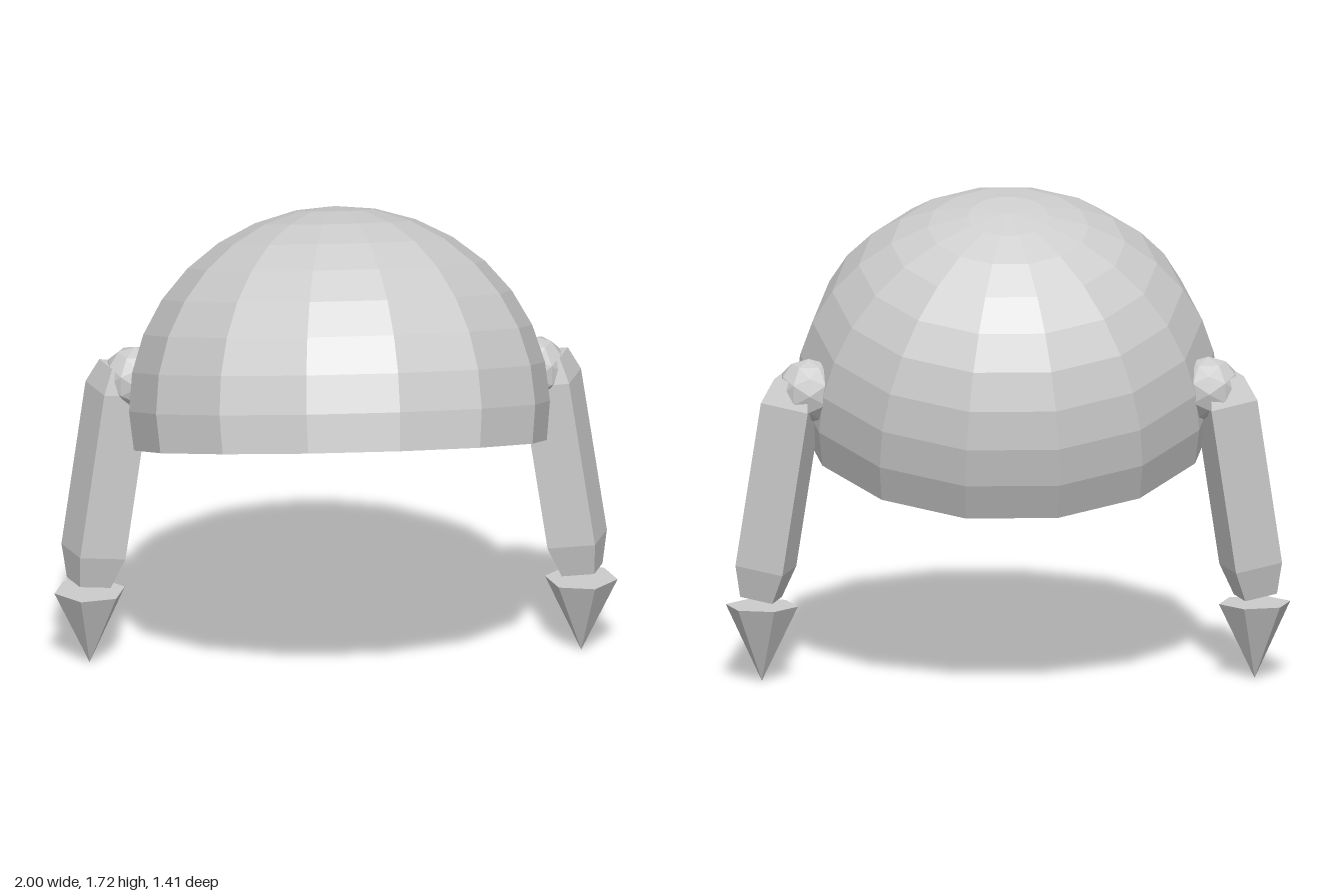
import * as THREE from 'three';

const rad = THREE.MathUtils.degToRad;

export function createModel() {
  const model = new THREE.Group();
  model.name = 'domeWithLegs';

  const grey = new THREE.MeshStandardMaterial({
    color: 0xcccccc, flatShading: true, side: THREE.DoubleSide,
  });
  grey.name = 'light grey';

  const add = (parent, name, geometry, x, y, z) => {
    const mesh = new THREE.Mesh(geometry, grey);
    mesh.name = name;
    mesh.position.set(x, y, z);
    parent.add(mesh);
    return mesh;
  };

  // Open dome, cut a little below its equator and tipped backwards
  const domeGeometry = new THREE.SphereGeometry(1, 14, 9, 0, Math.PI * 2, 0, rad(101.25));
  domeGeometry.scale(0.7475, 0.71, 0.728);
  domeGeometry.rotateX(rad(-18.2));
  add(model, 'dome', domeGeometry, 0, 1.015, 0);

  // Square leg with tapered ends, running from bottom to top
  const bottom = new THREE.Vector3(0.876, 0.302, -0.192);
  const top = new THREE.Vector3(0.757, 1.1, -0.25);
  const length = bottom.distanceTo(top);
  const profile = [
    [0, 0], [0.085, 0], [0.124, 0.115], [0.124, length - 0.09], [0.085, length], [0, length],
  ].map(([r, y]) => new THREE.Vector2(r, y));
  const legGeometry = new THREE.LatheGeometry(profile, 4, rad(27));
  const legDirection = top.clone().sub(bottom).normalize();

  // Six-sided spike pointing down
  const spikeGeometry = new THREE.ConeGeometry(0.13, 0.272, 6);
  spikeGeometry.rotateX(Math.PI);
  spikeGeometry.rotateY(rad(18));

  for (const side of [1, -1]) {
    const limb = new THREE.Group();
    limb.name = side > 0 ? 'leftLimb' : 'rightLimb';
    limb.scale.x = side;
    model.add(limb);

    add(limb, 'balljoint', new THREE.IcosahedronGeometry(0.115, 1), 0.708, 1.055, -0.238);
    const leg = add(limb, 'leg', legGeometry, bottom.x, bottom.y, bottom.z);
    leg.quaternion.setFromUnitVectors(new THREE.Vector3(0, 1, 0), legDirection);
    add(limb, 'spike', spikeGeometry, 0.873, 0.136, -0.195);
  }
  return model;
}
